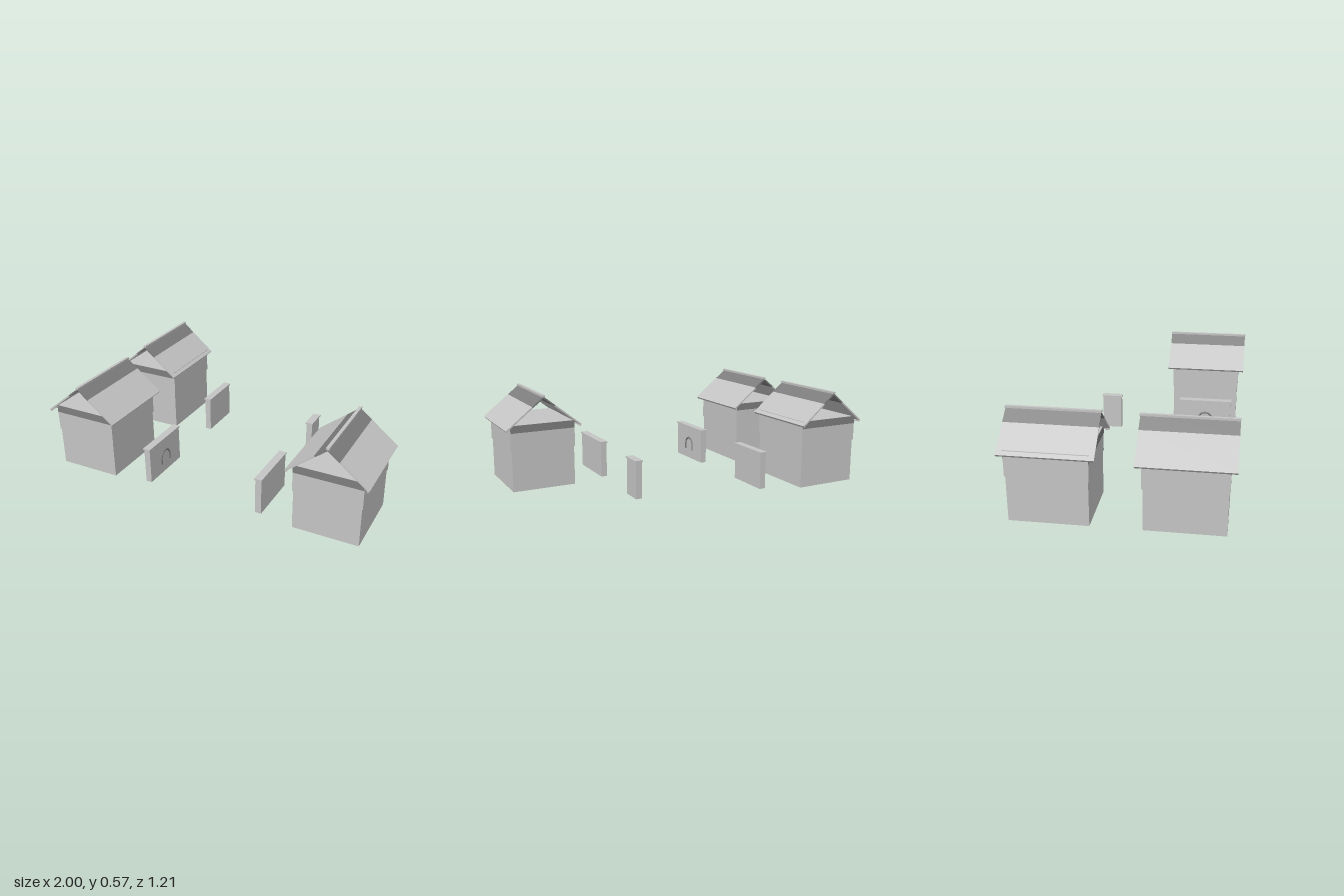
import * as THREE from 'three';

const lightGrey = new THREE.MeshStandardMaterial({ color: 0xc4c4c4 });
lightGrey.name = 'light grey';
const darkGrey = new THREE.MeshStandardMaterial({ color: 0x7e7e7e });
darkGrey.name = 'dark grey';

function box(parent, name, size, pos, material = lightGrey) {
  const mesh = new THREE.Mesh(new THREE.BoxGeometry(...size), material);
  mesh.name = name;
  mesh.position.set(...pos);
  parent.add(mesh);
  return mesh;
}

// Two-stage box hut with an open gabled roof
function hut({ name, x, z, half, split, top, eave, ridge }) {
  const g = new THREE.Group();
  g.name = name;
  g.position.set(x, 0, z);
  const depth = 0.505;
  box(g, 'lowerWalls', [0.38, split, 0.43], [0, split / 2, 0]);
  box(g, 'upperWalls', [0.39, top - split, 0.44], [0, (top + split) / 2, 0]);

  // Dark strips under both gables
  for (const s of [1, -1]) {
    box(g, 'gableStrip', [0.388, 0.044, 0.003], [0, top - 0.0225, s * 0.221], darkGrey);
  }

  // Roof slopes: dark upper band, light lower band, eave lip
  const angle = Math.atan2(ridge - eave, half);
  const length = Math.hypot(half, ridge - eave);
  const band = 0.07 / Math.cos(angle);
  const t = 0.009;
  for (const s of [1, -1]) {
    const slope = new THREE.Group();
    slope.name = s > 0 ? 'leftSlope' : 'rightSlope';
    slope.position.y = ridge;
    slope.rotation.z = -s * angle;
    box(slope, 'upperRoof', [band, t, depth], [s * band / 2, -t / 2, 0], darkGrey);
    box(slope, 'lowerRoof', [length - band, t, depth], [s * (band + length) / 2, -t / 2, 0]);
    box(slope, 'eaveLip', [0.006, 0.014, depth], [s * (length - 0.003), -0.008, 0]);
    g.add(slope);
  }
  box(g, 'ridgeCap', [0.018, 0.012, depth + 0.005], [0, ridge + 0.001, 0]);
  return g;
}

// Upright slab with a cap; arch = direction of the face carrying the arch
function slab({ name, x, z, length, arch }) {
  const g = new THREE.Group();
  g.name = name;
  g.position.set(x, 0, z);
  box(g, 'slabBody', [0.037, 0.215, length - 0.012], [0, 0.1075, 0]);
  box(g, 'slabCap', [0.046, 0.009, length], [0, 0.2195, 0]);
  if (arch) {
    const r = 0.044, cy = 0.096, foot = 0.06;
    const pts = [new THREE.Vector3(0, foot, -r)];
    for (let i = 0; i <= 12; i++) {
      const a = Math.PI * (1 - i / 12);
      pts.push(new THREE.Vector3(0, cy + r * Math.sin(a), r * Math.cos(a)));
    }
    pts.push(new THREE.Vector3(0, foot, r));
    const curve = new THREE.CatmullRomCurve3(pts);
    const mesh = new THREE.Mesh(new THREE.TubeGeometry(curve, 32, 0.006, 8), darkGrey);
    mesh.name = 'arch';
    mesh.position.x = arch * 0.0185;
    g.add(mesh);
  }
  return g;
}

export function createModel() {
  const model = new THREE.Group();
  model.name = 'hutsAndSlabs';
  const front = { z: 0.354, half: 0.229, split: 0.235, top: 0.395, eave: 0.374, ridge: 0.557 };
  model.add(
    hut({ name: 'frontRightHut', x: -0.77, ...front }),
    hut({ name: 'frontLeftHut', x: 0.768, ...front }),
    hut({ name: 'backRightHut', x: -0.77, z: -0.351, half: 0.214, split: 0.255, top: 0.402, eave: 0.383, ridge: 0.561 }),
    slab({ name: 'frontRightSlab', x: -0.364, z: 0.371, length: 0.338, arch: 1 }),
    slab({ name: 'frontLeftSlab', x: 0.358, z: 0.371, length: 0.338, arch: -1 }),
    slab({ name: 'backRightSlab', x: -0.368, z: -0.34, length: 0.284 }),
    slab({ name: 'backLeftSlab', x: 0.364, z: -0.254, length: 0.134 }),
  );
  return model;
}
